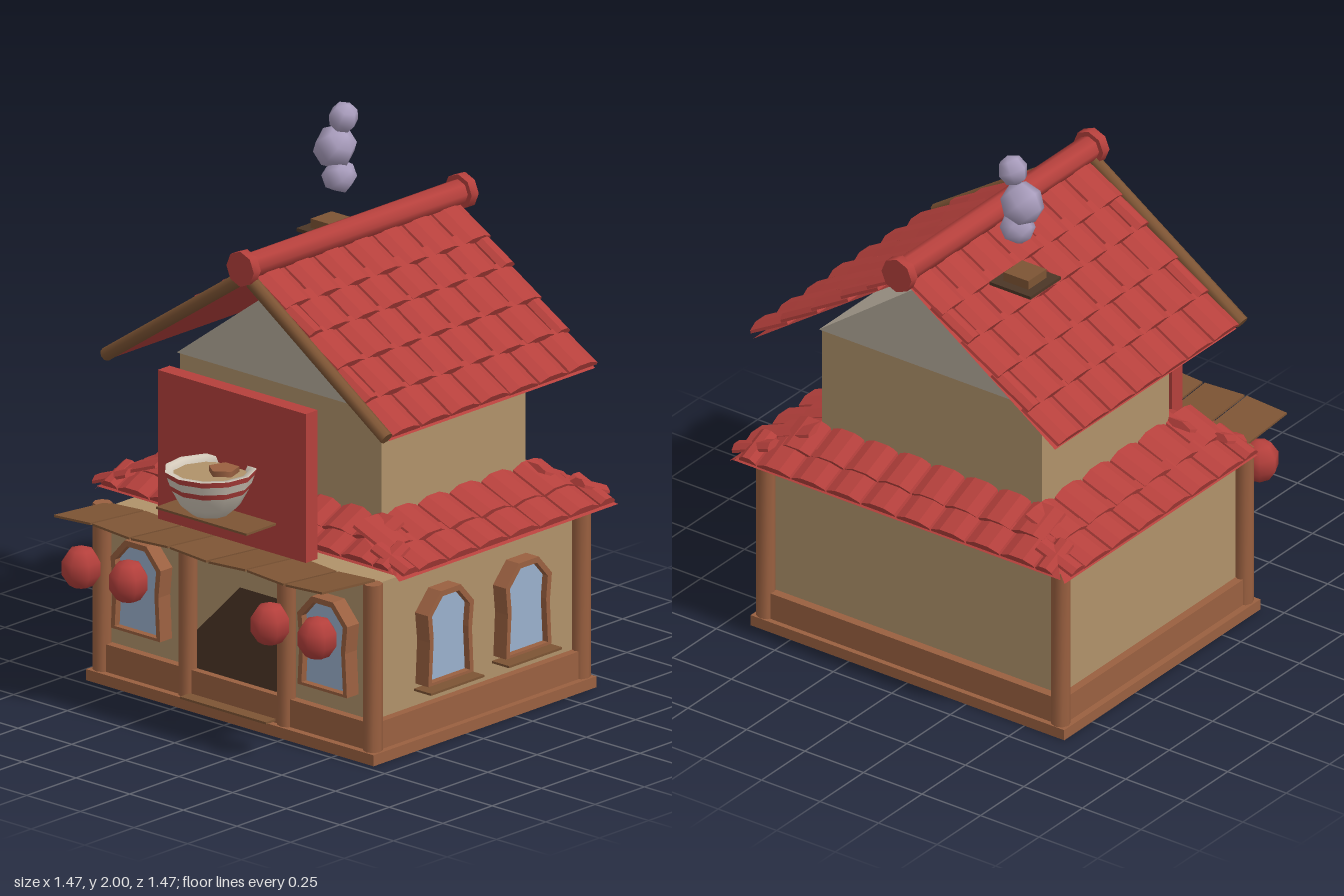
import * as THREE from 'three';
import { mergeGeometries, toCreasedNormals } from 'three/addons/utils/BufferGeometryUtils.js';

const mat = (name, color) => {
  const m = new THREE.MeshStandardMaterial({ color, side: THREE.DoubleSide });
  m.name = name;
  return m;
};
const M = {
  red: mat('roofRed', 0xb5403c),
  wall: mat('wallTan', 0xb0926a),
  wood: mat('postWood', 0x9a6040),
  plank: mat('plankBrown', 0x7d5434),
  dark: mat('darkBrown', 0x4c3626),
  glass: mat('windowBlue', 0x9ab0cc),
  gable: mat('gableGrey', 0xb5ab9b),
  cream: mat('bowlCream', 0xd4cabb),
  smoke: mat('smokeLilac', 0xa99dbd),
};

function add(parent, name, geo, material, x = 0, y = 0, z = 0) {
  const mesh = new THREE.Mesh(geo, material);
  mesh.name = name;
  mesh.position.set(x, y, z);
  parent.add(mesh);
  return mesh;
}
const box = (w, h, d) => new THREE.BoxGeometry(w, h, d);
const polygon = (pts) => new THREE.Shape(pts.map(([x, y]) => new THREE.Vector2(x, y)));

// Round beam between two points
function beam(parent, name, a, b, r, material, sides = 8) {
  const A = new THREE.Vector3(...a), B = new THREE.Vector3(...b);
  const dir = B.clone().sub(A);
  const geo = toCreasedNormals(new THREE.CylinderGeometry(r, r, dir.length(), sides), 0.9);
  const mesh = add(parent, name, geo, material);
  mesh.position.copy(A).add(B).multiplyScalar(0.5);
  mesh.quaternion.setFromUnitVectors(new THREE.Vector3(0, 1, 0), dir.normalize());
}

// Arched tile of unit width and length, running along +z
const tile = new THREE.ExtrudeGeometry(
  polygon([[-0.5, 0], [0.5, 0], [0.48, 0.4], [0.2, 1], [-0.2, 1], [-0.48, 0.4]]),
  { depth: 1, bevelEnabled: false });

// Sloping tiled roof face: local x runs along the eave, local z down the slope.
// top and bottom are the [low, high] ends of its upper and lower edges.
function pitch(parent, name, { pos, turn, angle, length, rows, top, bottom, width }) {
  const holder = new THREE.Group();
  holder.name = name;
  holder.position.set(...pos);
  holder.rotation.set(angle, turn, 0, 'YXZ');
  parent.add(holder);
  const slab = new THREE.ShapeGeometry(polygon(
    [[top[0], 0], [top[1], 0], [bottom[1], length], [bottom[0], length]]));
  add(holder, 'roofSheet', slab.rotateX(Math.PI / 2), M.red);
  const step = length / rows, tiles = [];
  for (let r = 0; r < rows; r++) {
    const t = (r + 0.7) / rows;
    const lo = top[0] + (bottom[0] - top[0]) * t, hi = top[1] + (bottom[1] - top[1]) * t;
    const n = Math.round((hi - lo) / width), w = (hi - lo) / n, shift = r % 2 ? 0.5 : 0;
    for (let i = 0; i < n + shift; i++) {
      const a = Math.max(lo, lo + (i - shift) * w), b = Math.min(hi, lo + (i + 1 - shift) * w);
      const wobble = 0.03 * ((i * 5 + r * 3) % 4) / 4;
      tiles.push(tile.clone().scale((b - a) * 0.97, 0.026, step * 1.15)
        .rotateX(-0.08 - wobble).translate((a + b) / 2, 0.002, Math.max(0, (r - 0.15) * step)));
    }
  }
  add(holder, 'roofTiles', mergeGeometries(tiles), M.red);
}

// Arched window facing local +z
function archPoints(r, w, bottom) {
  const pts = [[-w, bottom], [w, bottom]];
  for (let i = 0; i <= 5; i++) {
    const a = (-30 + i * 48) * Math.PI / 180;
    pts.push([r * Math.cos(a), 0.44 + r * Math.sin(a)]);
  }
  return pts;
}
function arched(parent, x, z, turn) {
  const g = new THREE.Group();
  g.name = 'archedWindow';
  g.position.set(x, 0, z);
  g.rotation.y = turn;
  parent.add(g);
  const frame = polygon(archPoints(0.123, 0.115, 0.22));
  frame.holes.push(polygon(archPoints(0.101, 0.097, 0.23)));
  add(g, 'windowFrame', new THREE.ExtrudeGeometry(frame, { depth: 0.06, bevelEnabled: false }), M.wood);
  add(g, 'windowGlass', new THREE.ShapeGeometry(polygon(archPoints(0.105, 0.1, 0.225))), M.glass, 0, 0, 0.035);
}

export function createModel() {
  const model = new THREE.Group();
  model.name = 'noodleShop';

  // Ground floor
  add(model, 'basePlate', box(1.34, 0.04, 1.13), M.wood, 0, 0.02, -0.095);
  add(model, 'lowerWalls', box(1.23, 0.59, 1.02), M.wall, 0, 0.335, -0.097);
  for (const x of [-0.63, 0.63]) {
    for (const z of [0.43, -0.625]) beam(model, 'cornerPost', [x, 0.04, z], [x, 0.645, z], 0.034, M.wood);
    add(model, 'sideSill', box(0.05, 0.1, 1), M.wood, x * 0.985, 0.09, -0.097);
  }
  for (const x of [-0.23, 0.23]) beam(model, 'doorPost', [x, 0.04, 0.43], [x, 0.645, 0.43], 0.034, M.wood);
  for (const z of [0.42, -0.615]) add(model, 'wallSill', box(1.2, 0.1, 0.05), M.wood, 0, 0.09, z);

  // Doorway and step
  const door = polygon([[-0.2, 0.14], [0.17, 0.14], [0.2, 0.19], [0.2, 0.48], [0, 0.48], [-0.2, 0.28]]);
  add(model, 'doorway', new THREE.ShapeGeometry(door), M.dark, 0, 0, 0.418);
  add(model, 'doorStep', box(0.4, 0.008, 0.05), M.plank, 0, 0.055, 0.48);

  // Windows: two in front, two on the left side with sills
  for (const x of [-0.435, 0.435]) arched(model, x, 0.415, 0);
  for (const z of [0.085, -0.31]) {
    arched(model, 0.617, z, Math.PI / 2);
    add(model, 'windowSill', box(0.08, 0.008, 0.27), M.plank, 0.668, 0.205, z);
  }

  // Lanterns
  for (const x of [-0.55, -0.33, 0.33, 0.55]) {
    const lantern = new THREE.SphereGeometry(0.072, 7, 5).scale(1, 1.1, 1);
    add(model, 'lantern', lantern, M.red, x, 0.478, 0.625);
  }

  // Awning of thin planks
  for (let i = -3; i <= 3; i++) {
    const plank = add(model, 'awningPlank', box(0.17, 0.008, 0.27), M.plank, i * 0.18, 0.655, 0.548);
    plank.rotation.set(-0.08, 0, i % 2 ? 0.06 : -0.06);
  }

  // Upper floor with gables
  add(model, 'upperWalls', box(0.94, 0.51, 0.73), M.wall, 0, 0.915, -0.153);
  const gable = new THREE.ExtrudeGeometry(polygon([[-0.48, 1.17], [0.48, 1.17], [0, 1.52]]),
    { depth: 0.74, bevelEnabled: false });
  add(model, 'gable', gable, M.gable, 0, 0, -0.523);

  // Tiled skirt roof around the upper floor
  for (const s of [-1, 1]) {
    const span = (front, back) => (s > 0 ? [-front, -back] : [back, front]);
    pitch(model, 'sideEave', {
      pos: [s * 0.46, 0.785, 0], turn: s * Math.PI / 2, angle: 0.45, length: 0.285, rows: 2,
      top: span(0.33, -0.55), bottom: span(0.39, -0.72), width: 0.15,
    });
    // Main roof slopes
    pitch(model, 'mainRoof', {
      pos: [0, 1.595, 0], turn: s * Math.PI / 2, angle: 0.605, length: 0.785, rows: 5,
      top: span(0.365, -0.68), bottom: span(0.365, -0.68), width: 0.15,
    });
    beam(model, 'bargeBoard', [0, 1.605, 0.387], [s * 0.655, 1.165, 0.387], 0.024, M.plank);
  }
  pitch(model, 'backEave', {
    pos: [0, 0.785, -0.51], turn: Math.PI, angle: 0.5, length: 0.24, rows: 2,
    top: [-0.5, 0.5], bottom: [-0.7, 0.7], width: 0.15,
  });
  pitch(model, 'frontEave', {
    pos: [0, 0.785, 0.2], turn: 0, angle: 0.53, length: 0.215, rows: 2,
    top: [-0.5, 0.5], bottom: [-0.7, 0.7], width: 0.15,
  });

  // Ridge
  beam(model, 'ridge', [0, 1.635, 0.4], [0, 1.635, -0.7], 0.046, M.red);
  for (const z of [0.4, -0.705]) beam(model, 'ridgeCap', [0, 1.635, z - 0.018], [0, 1.635, z + 0.018], 0.064, M.red);

  // Sign board, shelf and bowl
  add(model, 'signBoard', box(0.69, 0.54, 0.06), M.red, 0, 0.93, 0.43);
  add(model, 'bowlShelf', box(0.42, 0.008, 0.15), M.plank, 0, 0.77, 0.54);
  const bowl = new THREE.Group();
  bowl.name = 'bowl';
  bowl.position.set(0, 0, 0.57);
  model.add(bowl);
  const bands = [
    ['bowlBase', M.cream, [[0, 0.79], [0.065, 0.79], [0.105, 0.825], [0.135, 0.88]]],
    ['bowlStripe', M.red, [[0.135, 0.88], [0.143, 0.9]]],
    ['bowlSide', M.cream, [[0.143, 0.9], [0.154, 0.93]]],
    ['bowlRim', M.red, [[0.154, 0.93], [0.16, 0.95]]],
    ['bowlLip', M.cream, [[0.16, 0.95], [0.138, 0.95], [0.13, 0.925]]],
    ['broth', M.wall, [[0.134, 0.93], [0, 0.93]]],
  ];
  for (const [name, m, pts] of bands) {
    add(bowl, name, new THREE.LatheGeometry(pts.map((p) => new THREE.Vector2(...p)), 11), m);
  }
  add(bowl, 'topping', new THREE.CylinderGeometry(0.055, 0.055, 0.02, 5), M.wood, 0.035, 0.945, -0.03);

  // Chimney cap and smoke
  add(model, 'chimneyPlate', box(0.175, 0.012, 0.175), M.dark, -0.262, 1.528, -0.335);
  add(model, 'chimneyCap', box(0.105, 0.055, 0.105), M.plank, -0.262, 1.54, -0.335);
  for (const [x, y, r] of [[-0.23, 1.73, 0.062], [-0.25, 1.83, 0.078], [-0.21, 1.947, 0.055]]) {
    add(model, 'smokePuff', new THREE.SphereGeometry(r, 6, 4), M.smoke, x, y, -0.335).rotation.z = y * 3;
  }
  return model;
}
